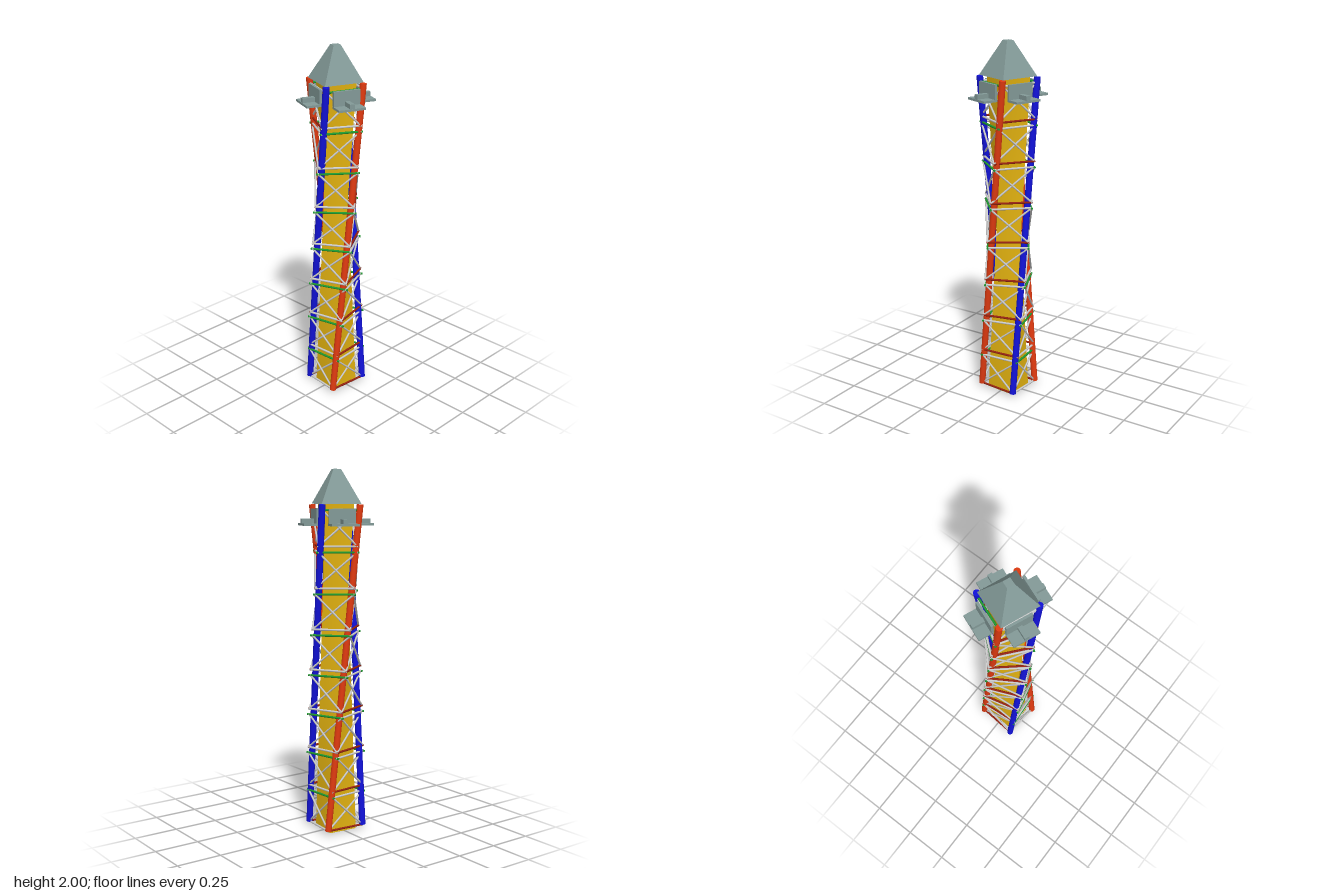
import * as THREE from 'three';

const rad = THREE.MathUtils.degToRad;
const START = rad(5), TWIST = rad(-73.5);
const BASE = 0.025, TOP = 1.815, STAGES = 8;

const mat = (color, extra = {}) => new THREE.MeshStandardMaterial({ color, ...extra });
const red = mat(0xe03a10), blue = mat(0x1212d8), green = mat(0x1f9a2f), darkRed = mat(0x962210);
const yellow = mat(0xe0b010, { side: THREE.DoubleSide });
const slate = mat(0x839a98, { flatShading: true });
const steel = mat(0xcccccc);

// Plan point turned by the share t of the full twist
function turned(x, y, z, t) {
  return new THREE.Vector3(x, y, z).applyAxisAngle(new THREE.Vector3(0, 1, 0), -(START + TWIST * t));
}

// Corner k of the slightly oblong plan
function corner(k, t, y) {
  const a = Math.PI / 4 + k * Math.PI / 2;
  return turned(0.112 * Math.sign(Math.cos(a)), y, 0.104 * Math.sign(Math.sin(a)), t);
}

// Round bar between two points, run past both ends by the overhang
function rod(parent, name, a, b, radius, material, sides = 8, overhang = 0) {
  const length = a.distanceTo(b) + 2 * overhang;
  const mesh = new THREE.Mesh(new THREE.CylinderGeometry(radius, radius, length, sides), material);
  mesh.position.lerpVectors(a, b, 0.5);
  mesh.quaternion.setFromUnitVectors(new THREE.Vector3(0, 1, 0), b.clone().sub(a).normalize());
  mesh.name = name;
  parent.add(mesh);
}

function box(parent, name, w, h, d, x, y, z) {
  const mesh = new THREE.Mesh(new THREE.BoxGeometry(w, h, d), slate);
  mesh.position.set(x, y, z);
  mesh.name = name;
  parent.add(mesh);
}

// Shaft whose straight edges run to a twisted top
function makeCore() {
  const height = 1.815;
  const geo = new THREE.BoxGeometry(0.168, height, 0.158, 4, 24, 4).translate(0, height / 2, 0);
  const p = geo.attributes.position;
  for (let i = 0; i < p.count; i++) {
    const x = p.getX(i), y = p.getY(i), z = p.getZ(i);
    const v = turned(x, y, z, 0).lerp(turned(x, y, z, 1), y / height);
    p.setXYZ(i, v.x, v.y, v.z);
  }
  geo.computeVertexNormals();
  const core = new THREE.Mesh(geo, yellow);
  core.name = 'core';
  return core;
}

// Wall panel with a shelf and a small rib, facing local +z
function makeBalcony(reach, shift) {
  const g = new THREE.Group();
  g.name = 'balcony';
  box(g, 'balconyPanel', 0.148, 0.085, 0.014, shift, 1.7475, reach - 0.077);
  box(g, 'balconyShelf', 0.15, 0.012, 0.085, shift, 1.706, reach - 0.0425);
  box(g, 'balconyRib', 0.026, 0.024, 0.07, shift, 1.724, reach - 0.037);
  return g;
}

export function createModel() {
  const model = new THREE.Group();
  model.name = 'twistedTower';
  model.add(makeCore());

  // Straight leaning legs
  for (let k = 0; k < 4; k++) {
    rod(model, 'leg', corner(k, 0, BASE), corner(k, 1, 1.812), 0.018, k % 2 ? red : blue, 16);
  }

  // Lattice: paired level bars and crossed braces on each face
  const lattice = new THREE.Group();
  lattice.name = 'lattice';
  model.add(lattice);
  const gap = 0.032;
  const node = (k, i, drop) => corner(k, i / STAGES, BASE + (TOP - BASE) * i / STAGES - drop);
  for (let k = 0; k < 4; k++) {
    const side = k % 2;
    rod(lattice, 'baseBar', node(k, 0, 0), node(k + 1, 0, 0), 0.006, side ? steel : darkRed);
    for (let i = 1; i <= STAGES; i++) {
      if (i < STAGES) {
        rod(lattice, 'upperBar', node(k, i, 0), node(k + 1, i, 0), 0.006, side ? steel : darkRed, 8, 0.004);
      }
      rod(lattice, 'lowerBar', node(k, i, gap), node(k + 1, i, gap), 0.006, side ? green : steel, 8, side ? 0.012 : 0.004);
      rod(lattice, 'brace', node(k, i - 1, 0), node(k + 1, i, gap), 0.0055, steel, 6, 0.005);
      rod(lattice, 'brace', node(k + 1, i - 1, 0), node(k, i, gap), 0.0055, steel, 6, 0.005);
    }
  }

  // Balconies below the roof, one per face
  for (let k = 0; k < 4; k++) {
    const balcony = k % 2 ? makeBalcony(0.208, 0.002) : makeBalcony(0.192, -0.007);
    balcony.rotation.y = rad(68 - 90 * k);
    model.add(balcony);
  }

  // Roof: steep pyramid with a small flat top
  const roof = new THREE.Mesh(new THREE.CylinderGeometry(0.029, 0.155, 0.185, 4), slate);
  roof.position.set(-0.003, 1.9075, 0);
  roof.rotation.y = rad(24);
  roof.name = 'roof';
  model.add(roof);

  return model;
}
